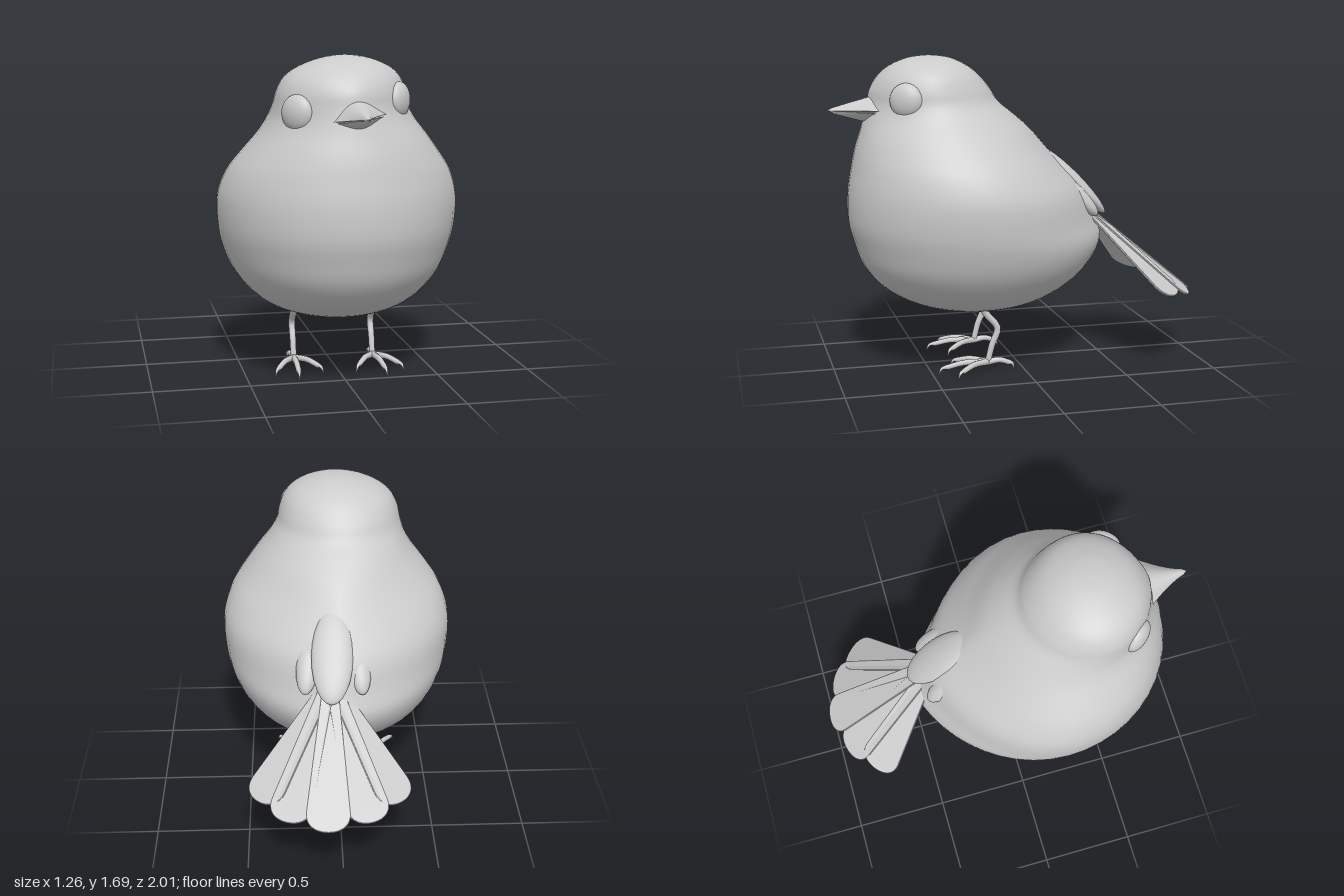
import * as THREE from 'three';

const mat = new THREE.MeshStandardMaterial({ color: 0xcccccc, side: THREE.DoubleSide });
const V = (x, y, z) => new THREE.Vector3(x, y, z);

function part(parent, name, geometry) {
  const m = new THREE.Mesh(geometry, mat);
  m.name = name;
  parent.add(m);
  return m;
}

// Smooth skin over closed rings of points
function loft(rings) {
  const n = rings[0].length, index = [];
  for (let i = 0; i < rings.length - 1; i++) {
    for (let j = 0; j < n; j++) {
      const k = (j + 1) % n;
      const a = i * n + j, b = i * n + k, c = a + n, d = b + n;
      index.push(a, c, b, b, c, d);
    }
  }
  const g = new THREE.BufferGeometry().setFromPoints(rings.flat());
  g.setIndex(index);
  g.computeVertexNormals();
  return g;
}

// Body and head in one skin: y, back z, front z, half width, z of widest point, centre x
const PROFILE = [
  [0.307, 0.19, 0.23, 0.02, 0.21, 0],
  [0.315, 0.09, 0.34, 0.11, 0.21, 0],
  [0.34, -0.04, 0.47, 0.235, 0.21, 0],
  [0.39, -0.18, 0.61, 0.365, 0.21, 0],
  [0.47, -0.32, 0.735, 0.465, 0.21, 0],
  [0.58, -0.44, 0.825, 0.55, 0.21, 0],
  [0.7, -0.5, 0.87, 0.6, 0.21, 0],
  [0.82, -0.455, 0.9, 0.625, 0.23, 0],
  [0.97, -0.39, 0.9, 0.628, 0.25, 0],
  [1.1, -0.27, 0.88, 0.585, 0.29, 0],
  [1.2, -0.18, 0.86, 0.515, 0.33, 0],
  [1.3, -0.09, 0.83, 0.435, 0.37, 0],
  [1.38, 0, 0.81, 0.378, 0.4, -0.01],
  [1.45, 0.085, 0.79, 0.345, 0.44, -0.02],
  [1.52, 0.13, 0.775, 0.328, 0.46, -0.02],
  [1.59, 0.19, 0.73, 0.293, 0.46, -0.015],
  [1.645, 0.26, 0.665, 0.222, 0.46, -0.005],
  [1.685, 0.35, 0.57, 0.11, 0.46, 0],
  [1.698, 0.44, 0.48, 0.02, 0.46, 0],
];

function bodyGeometry() {
  const outline = new THREE.CatmullRomCurve3(PROFILE.map(r => V(r[0], r[1], r[2])), false, 'catmullrom');
  const width = new THREE.CatmullRomCurve3(PROFILE.map(r => V(r[3], r[4], r[5])), false, 'catmullrom');
  const rings = [], steps = 72, sides = 48, { smoothstep } = THREE.MathUtils;
  for (let i = 0; i <= steps; i++) {
    const o = outline.getPoint(i / steps), w = width.getPoint(i / steps), y = o.x;
    const shrink = i === 0 || i === steps ? 0 : 1;
    // The back narrows towards the tail, the face towards the beak
    const backPower = 1 + 0.38 * smoothstep(y, 0.4, 0.8) * (1 - smoothstep(y, 1.15, 1.45));
    const facePower = 1 + 0.2 * smoothstep(y, 1.25, 1.42) * (1 - smoothstep(y, 1.5, 1.62));
    const ring = [];
    for (let j = 0; j < sides; j++) {
      const a = j / sides * Math.PI * 2, s = Math.sin(a) * shrink, c = Math.cos(a);
      const depth = s > 0 ? o.z - w.y : w.y - o.y;
      const side = Math.sign(c) * Math.abs(c) ** (s > 0 ? facePower : backPower);
      ring.push(V(w.z + w.x * side * shrink, y, w.y + depth * s));
    }
    rings.push(ring);
  }
  return loft(rings);
}

// Half of the beak, built from tip to base; up and down are its heights at the base
function mandible(width, up, down, length, droop) {
  const rings = [], steps = 12, sides = 32;
  for (let i = 0; i <= steps; i++) {
    const t = i / steps;
    const w = i ? 0.012 + width * t ** 1.4 : 0;
    const ring = [];
    for (let j = 0; j < sides; j++) {
      const a = j / sides * Math.PI * 2, s = Math.sin(a);
      const h = s > 0 ? up : down;
      const y = i ? Math.sign(s) * Math.abs(s) ** (1 + 1.8 * t) * (0.008 + h * t) : 0;
      ring.push(V(w * Math.cos(a), y - droop * t, length * (1 - t)));
    }
    rings.push(ring);
  }
  return loft(rings);
}

// Tail feather: narrow root, rounded tip, along +y
function featherGeometry(length) {
  const s = new THREE.Shape();
  s.moveTo(-0.04, 0);
  s.lineTo(-0.11, length - 0.1);
  s.bezierCurveTo(-0.115, length - 0.03, -0.06, length, 0, length);
  s.bezierCurveTo(0.06, length, 0.115, length - 0.03, 0.11, length - 0.1);
  s.lineTo(0.04, 0);
  return new THREE.ExtrudeGeometry(s, {
    depth: 0.006, bevelThickness: 0.003, bevelSize: 0.003, bevelSegments: 1, curveSegments: 10,
  });
}

// Round limb through points, tapering from r0 to r1
function limb(points, r0, r1) {
  const steps = 14, sides = 10;
  const curve = new THREE.CatmullRomCurve3(points.map(p => V(...p)));
  const g = new THREE.TubeGeometry(curve, steps, 1, sides, false);
  const p = g.attributes.position;
  for (let i = 0; i <= steps; i++) {
    const c = curve.getPointAt(i / steps), r = r0 + (r1 - r0) * i / steps;
    for (let j = 0; j <= sides; j++) {
      const k = i * (sides + 1) + j;
      const q = V(0, 0, 0).fromBufferAttribute(p, k).sub(c).multiplyScalar(r).add(c);
      p.setXYZ(k, q.x, q.y, q.z);
    }
  }
  return g;
}

export function createModel() {
  const bird = new THREE.Group();
  bird.name = 'bird';
  part(bird, 'body', bodyGeometry());

  // Eyes, on a slightly tilted head
  for (const [name, x, y, z, yaw] of [['leftEye', 0.24, 1.475, 0.622, 0.95], ['rightEye', -0.277, 1.42, 0.645, -0.85]]) {
    const eye = part(bird, name, new THREE.SphereGeometry(1, 28, 20));
    eye.scale.set(0.092, 0.092, 0.05);
    eye.position.set(x, y, z);
    eye.rotation.y = yaw;
  }

  // Beak
  const beak = new THREE.Group();
  beak.name = 'beak';
  beak.position.set(-0.003, 1.413, 0.75);
  beak.rotation.z = 0.13;
  bird.add(beak);
  part(beak, 'upperBeak', mandible(0.135, 0.085, 0.008, 0.25, 0.015));
  part(beak, 'lowerBeak', mandible(0.125, 0.006, 0.045, 0.235, 0.02)).position.y = -0.005;

  // Tail: five feathers fanned over a shallow cone
  const tail = new THREE.Group();
  tail.name = 'tail';
  tail.position.set(0.05, 0.855, -0.41);
  bird.add(tail);
  [[37, 0.67, -0.016], [18, 0.73, -0.008], [-3, 0.765, 0], [-23, 0.73, -0.008], [-42, 0.67, -0.016]]
    .forEach(([yaw, length, lift]) => {
      const f = part(tail, 'tailFeather', featherGeometry(length));
      const a = yaw * Math.PI / 180;
      f.rotation.set(-Math.PI / 2 - 0.69, a, 0, 'YXZ');
      f.position.set(-Math.sin(a) * 0.05, lift, 0);
    });

  // Rump and wing tips overlapping the tail root
  for (const [name, x, y, z, yaw, w, l] of [
    ['rumpFeathers', 0.04, 1.0, -0.335, -0.05, 0.11, 0.26],
    ['rightWingTip', -0.1, 0.94, -0.33, 0.15, 0.06, 0.16],
    ['leftWingTip', 0.17, 0.94, -0.32, -0.15, 0.06, 0.16]]) {
    const m = part(bird, name, new THREE.SphereGeometry(1, 24, 20));
    m.scale.set(w, 0.045, l);
    m.position.set(x, y, z);
    m.rotation.set(-0.8, yaw, 0, 'YXZ');
  }

  // Legs with three front toes and one back toe, each ending in a claw
  for (const [side, name] of [[1, 'leftLeg'], [-1, 'rightLeg']]) {
    const leg = new THREE.Group();
    leg.name = name;
    leg.position.set(side * 0.217, 0, side * 0.01);
    bird.add(leg);
    part(leg, 'shank', limb([[0, 0.37, 0.22], [0, 0.32, 0.19], [0, 0.24, 0.13], [0, 0.15, 0.16], [0, 0.05, 0.185]], 0.02, 0.016));
    for (const [x, z] of [[0.12, 0.36], [0.015, 0.44], [-0.12, 0.35], [0.01, 0.05]]) {
      const dz = z - 0.185;
      part(leg, 'toe', limb([[0, 0.055, 0.185], [side * x * 0.5, 0.062, 0.185 + dz * 0.5],
        [side * x * 0.9, 0.045, 0.185 + dz * 0.9]], 0.018, 0.014));
      part(leg, 'claw', limb([[side * x * 0.85, 0.048, 0.185 + dz * 0.85],
        [side * x, 0.04, 0.185 + dz], [side * x * 1.08, 0.012, 0.185 + dz * 1.07]], 0.014, 0.002));
    }
  }
  return bird;
}
